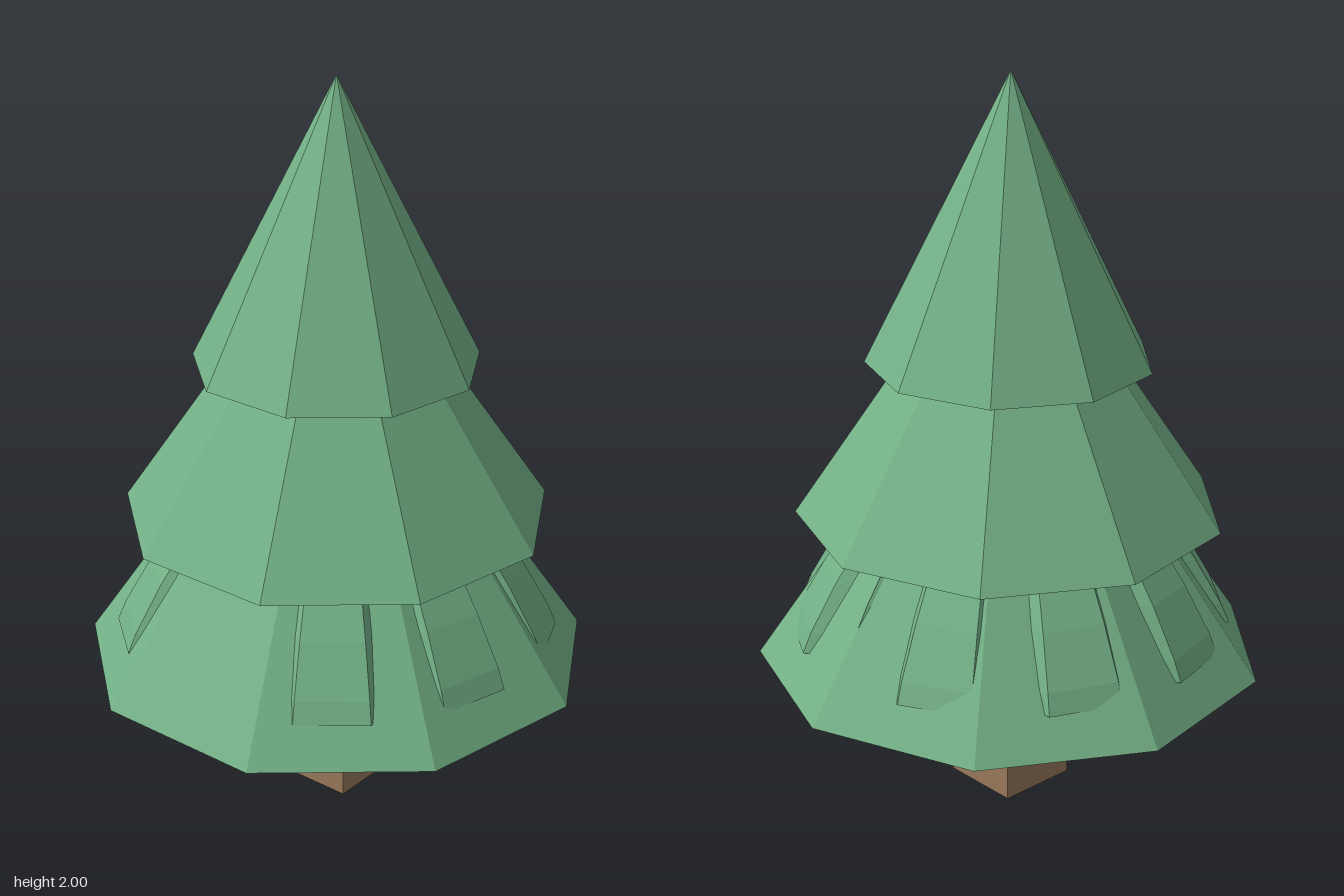
import * as THREE from 'three';

const foliage = new THREE.MeshStandardMaterial({ color: 0x73b086, flatShading: true, side: THREE.DoubleSide });
foliage.name = 'foliage green';
const bark = new THREE.MeshStandardMaterial({ color: 0x99795b, flatShading: true });
bark.name = 'bark brown';

// Pleated skirt: crests every 1/19 turn, joined in pairs as flat fronds with a valley between pairs
function frondGeometry() {
  const crests = 19;
  const outline = []; // [angle, radius scale]
  for (let i = 0; i < crests; i++) {
    const step = (Math.PI * 2) / crests;
    const atBack = i === 9 || i === 10;
    outline.push([i * step, atBack ? 0.93 : 1]);
    if (i % 2 === 0 || i === crests - 1) outline.push([(i + 0.5) * step, 0.82]);
  }
  // Drooping profile of a crest: [radius, height]
  const profile = [[0.14, 0.87], [0.28, 0.85], [0.412, 0.81], [0.503, 0.675], [0.577, 0.545], [0.6, 0.49]];
  const pos = [];
  const index = [];
  const n = outline.length;
  profile.forEach(([r, y], row) => {
    outline.forEach(([a, s], k) => {
      pos.push(r * s * Math.cos(a), y, -r * s * Math.sin(a));
      if (row === 0) return;
      const next = (k + 1) % n;
      const top = (row - 1) * n, low = row * n;
      index.push(top + k, low + k, top + next, top + next, low + k, low + next);
    });
  });
  const g = new THREE.BufferGeometry();
  g.setAttribute('position', new THREE.Float32BufferAttribute(pos, 3));
  g.setIndex(index);
  g.computeVertexNormals();
  return g;
}

export function createModel() {
  const tree = new THREE.Group();
  tree.name = 'pineTree';
  tree.position.x = -0.022;

  const add = (name, geometry, material, y = 0) => {
    const mesh = new THREE.Mesh(geometry, material);
    mesh.name = name;
    mesh.position.y = y;
    tree.add(mesh);
    return mesh;
  };

  // Three open nine-sided skirts: [name, radius, base height, tip height]
  const tiers = [
    ['topTier', 0.385, 1.232, 2.0],
    ['middleTier', 0.58, 0.808, 1.66],
    ['bottomTier', 0.692, 0.39, 1.4],
  ];
  for (const [name, radius, base, tip] of tiers) {
    const h = tip - base;
    add(name, new THREE.ConeGeometry(radius, h, 9, 1, true, Math.PI / 2), foliage, base + h / 2);
  }

  // Fronds breaking through the bottom tier
  add('fronds', frondGeometry(), foliage);

  // Square trunk with a tapering top
  const half = 0.114;
  add('trunk', new THREE.BoxGeometry(half * 2, 0.5, half * 2), bark, 0.25);
  const taper = new THREE.ConeGeometry(half * Math.SQRT2, 0.38, 4, 1, true);
  add('trunkTop', taper, bark, 0.69).rotation.y = Math.PI / 4;

  const model = new THREE.Group();
  model.add(tree);
  return model;
}
